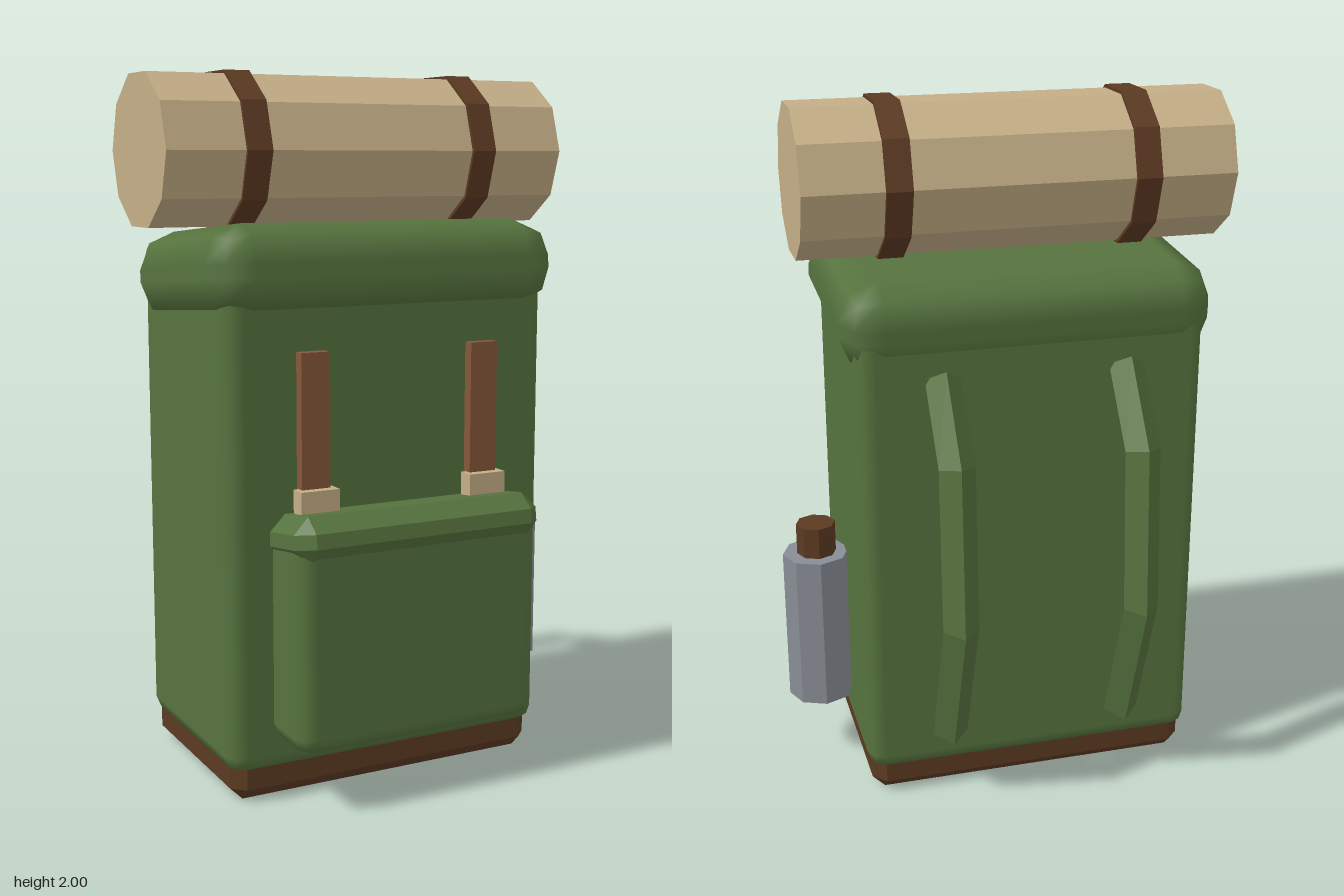
import * as THREE from 'three';
import { RoundedBoxGeometry } from 'three/addons/geometries/RoundedBoxGeometry.js';
import { ConvexGeometry } from 'three/addons/geometries/ConvexGeometry.js';

function material(name, color, flat = false) {
  const m = new THREE.MeshStandardMaterial({ color, flatShading: flat });
  m.name = name;
  return m;
}

// Softly bevelled box with smooth normals; the size is the true outer size
function softBox(w, h, d, r) {
  const grow = 0.19 * r;
  return new RoundedBoxGeometry(w + grow, h + grow, d + grow, 1, r);
}

// Box with a single flat chamfer on every edge
function chamferBox(w, h, d, c) {
  const points = [];
  for (const sx of [-1, 1]) for (const sy of [-1, 1]) for (const sz of [-1, 1]) {
    const x = w / 2, y = h / 2, z = d / 2;
    points.push(
      new THREE.Vector3(sx * x, sy * (y - c), sz * (z - c)),
      new THREE.Vector3(sx * (x - c), sy * y, sz * (z - c)),
      new THREE.Vector3(sx * (x - c), sy * (y - c), sz * z));
  }
  return new ConvexGeometry(points);
}

// Four-sided strap that follows a bent path of [y, z] points
function bentStrap(path, r) {
  const rows = path.length - 1;
  const geo = new THREE.CylinderGeometry(r, r, 1, 4, rows);
  const pos = geo.attributes.position;
  for (let i = 0; i < pos.count; i++) {
    const row = Math.round((0.5 - pos.getY(i)) * rows);
    const a = path[Math.max(row - 1, 0)], b = path[Math.min(row + 1, rows)];
    const dy = b[0] - a[0], dz = b[1] - a[1], len = Math.hypot(dy, dz);
    const off = pos.getZ(i);
    pos.setXYZ(i, pos.getX(i), path[row][0] + off * dz / len, path[row][1] - off * dy / len);
  }
  geo.computeVertexNormals();
  return geo;
}

export function createModel() {
  const group = new THREE.Group();
  group.name = 'backpack';

  const canvas = material('green canvas', 0x56733e);
  const darkLeather = material('dark brown leather', 0x5c3a22);
  const leather = material('tan leather', 0x87583a);
  const cloth = material('beige cloth', 0xc4ae86);
  const metal = material('grey metal', 0x888d95);
  for (const m of [darkLeather, leather, cloth, metal]) m.flatShading = true;

  const add = (name, geo, mat, x, y, z, tilt = 0) => {
    const mesh = new THREE.Mesh(geo, mat);
    mesh.name = name;
    mesh.position.set(x, y, z);
    mesh.rotation.x = tilt;
    group.add(mesh);
    return mesh;
  };
  const cx = -0.038;

  // Main bag, base and tilted lid
  add('body', softBox(0.985, 1.365, 0.64, 0.05), canvas, cx, 0.77, 0.01);
  add('base', chamferBox(0.965, 0.14, 0.615, 0.037), darkLeather, cx, 0.07, 0.012);
  add('lid', softBox(1.045, 0.235, 0.69, 0.11), canvas, cx, 1.445, 0.022, -0.085);

  // Front pocket with its flap
  add('pocket', softBox(0.73, 0.6, 0.26, 0.05), canvas, cx, 0.48, 0.378);
  const flapGeo = chamferBox(0.755, 0.13, 0.27, 0.045);
  add('pocketFlap', flapGeo, canvas, cx, 0.758, 0.4, -0.15);

  // Closing straps, buckles and shoulder straps in pairs
  const shoulderPath = [[1.29, -0.305], [1.085, -0.458], [0.617, -0.487], [0.21, -0.345]];
  for (const x of [cx - 0.263, cx + 0.262]) {
    add('closingStrap', new THREE.BoxGeometry(0.085, 0.425, 0.032), leather, x, 1.043, 0.37);
    add('buckle', new THREE.BoxGeometry(0.115, 0.065, 0.048), cloth, x, 0.853, 0.389);
    add('shoulderStrap', bentStrap(shoulderPath, 0.051).toNonIndexed(), canvas, x, 0, 0)
      .geometry.computeVertexNormals();
  }

  // Bottle on the left side
  add('bottle', new THREE.CylinderGeometry(0.098, 0.098, 0.467, 8), metal, 0.548, 0.438, 0.008);
  add('bottleCap', new THREE.CylinderGeometry(0.058, 0.058, 0.1, 8), darkLeather, 0.545, 0.715, 0.008);

  // Bedroll lying across the lid, held by two bands
  const roll = (r, length) => new THREE.CylinderGeometry(r, r, length, 10).rotateZ(Math.PI / 2);
  add('bedroll', roll(0.217, 1.225), cloth, cx, 1.784, 0.01);
  for (const x of [cx - 0.35, cx + 0.35]) {
    add('bedrollBand', roll(0.227, 0.073), darkLeather, x, 1.784, 0.01);
  }

  return group;
}
